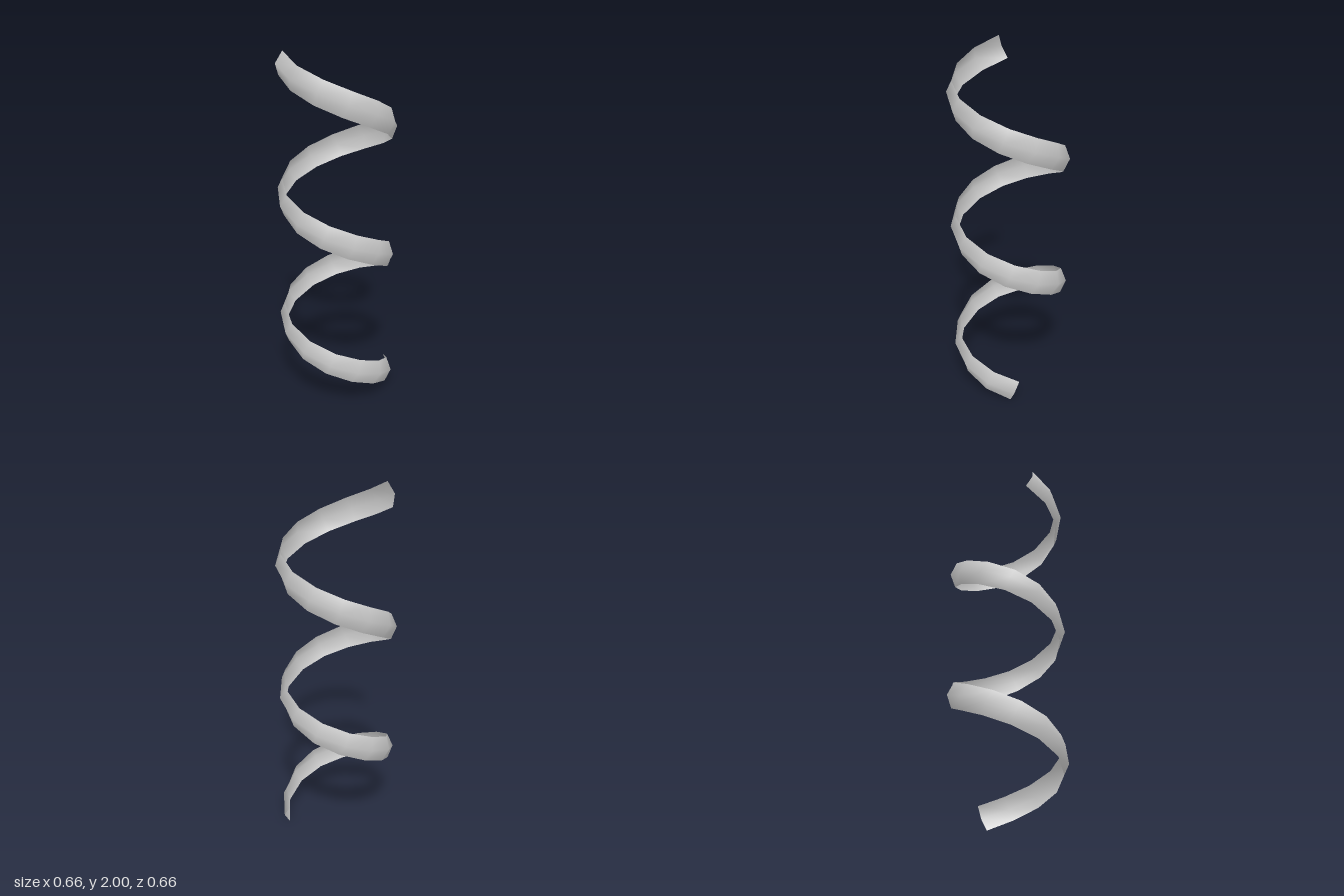
import * as THREE from 'three';

const TURNS = 2.5, STEPS = 32;
const RADIUS = 0.3, DEPTH = 0.031, HALF_WIDTH = 0.07;
const RISE = 0.119; // height gained per radian

// Cross-section of the ribbon: [across the width, outwards]
const SECTION = [[-HALF_WIDTH, 0], [0, DEPTH], [HALF_WIDTH, 0]];

function spine(i) {
  const a = (i / STEPS) * TURNS * Math.PI * 2;
  return new THREE.Vector3(Math.cos(a) * RADIUS, a * RISE, Math.sin(a) * RADIUS);
}

function ribbonGeometry() {
  const positions = [], index = [], n = SECTION.length;
  const up = new THREE.Vector3(0, 1, 0);
  for (let i = 0; i <= STEPS; i++) {
    // Frame from the neighbouring spine points
    const p = spine(i);
    const tangent = spine(Math.min(i + 1, STEPS)).sub(spine(Math.max(i - 1, 0))).normalize();
    const outward = new THREE.Vector3().crossVectors(up, tangent).normalize();
    const across = new THREE.Vector3().crossVectors(tangent, outward);
    for (const [w, d] of SECTION) {
      const v = p.clone().addScaledVector(across, w).addScaledVector(outward, d);
      positions.push(v.x, v.y, v.z);
    }
    if (i === STEPS) break;
    for (let j = 0; j < n - 1; j++) {
      const a = i * n + j, b = a + n;
      index.push(a, a + 1, b, b, a + 1, b + 1);
    }
  }
  const g = new THREE.BufferGeometry();
  g.setAttribute('position', new THREE.Float32BufferAttribute(positions, 3));
  g.setIndex(index);
  g.computeVertexNormals();
  // Stand on the ground, centred
  g.computeBoundingBox();
  const c = g.boundingBox.getCenter(new THREE.Vector3());
  g.translate(-c.x, -g.boundingBox.min.y, -c.z);
  return g;
}

export function createModel() {
  const group = new THREE.Group();
  group.name = 'spiral';
  // Open, V-shaped ribbon wound into a helix
  const ribbon = new THREE.Mesh(
    ribbonGeometry(),
    new THREE.MeshStandardMaterial({ color: 0xcccccc, side: THREE.DoubleSide })
  );
  ribbon.name = 'spiralRibbon';
  group.add(ribbon);
  return group;
}
